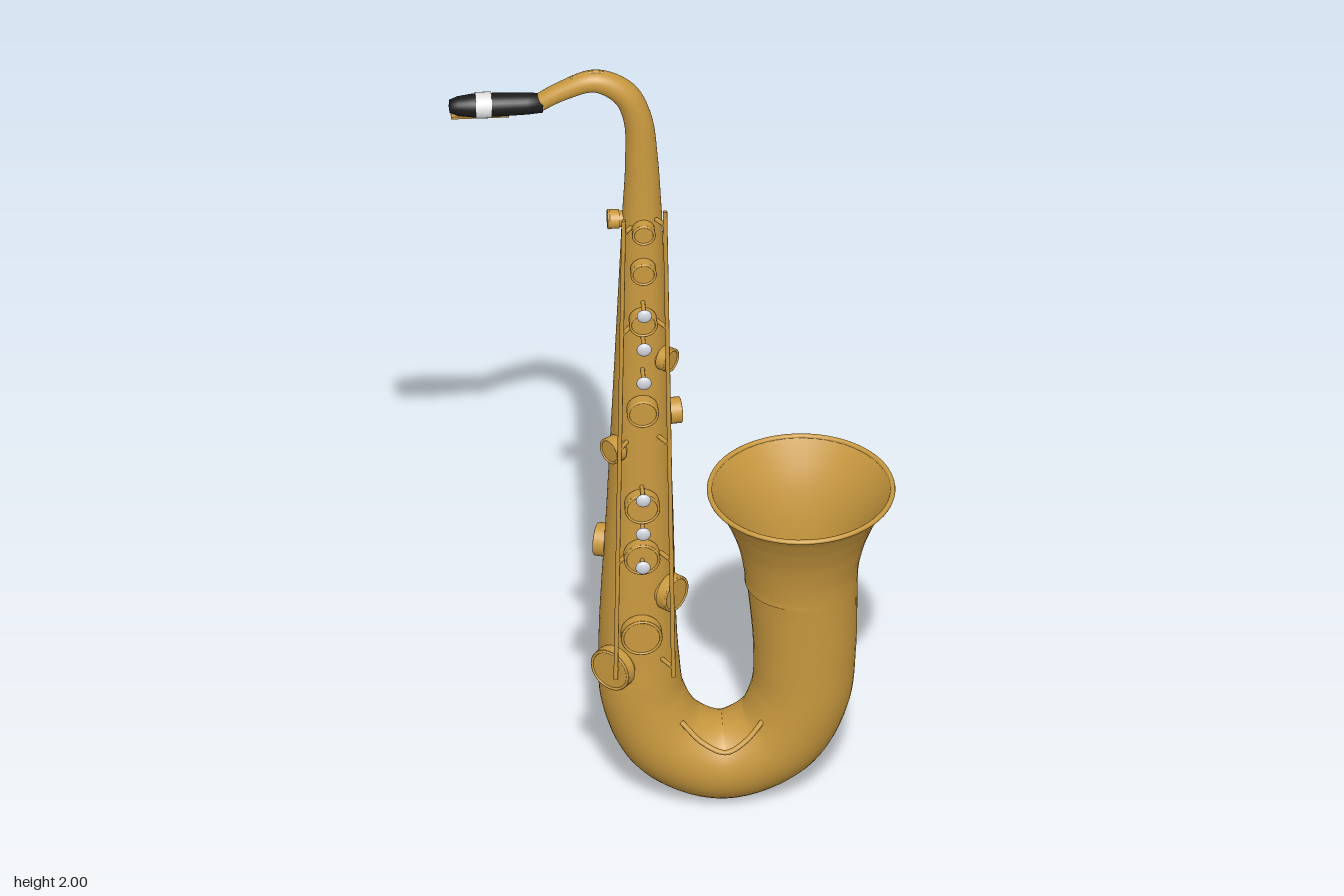
import * as THREE from 'three';

const mat = (name, color, side = THREE.FrontSide) => {
  const m = new THREE.MeshStandardMaterial({ color, side });
  m.name = name;
  return m;
};

export function createModel() {
  const gold = mat('gold lacquer', 0xc9993f, THREE.DoubleSide);
  const black = mat('black ebonite', 0x1c1c1c);
  const silver = mat('silver', 0xe2e2e2);
  const pearl = mat('pearl', 0xd0d4dc);

  const model = new THREE.Group();
  const add = (name, geo, material, parent = model, x = 0, y = 0, z = 0) => {
    const m = new THREE.Mesh(geo, material);
    m.name = name;
    m.position.set(x, y, z);
    parent.add(m);
    return m;
  };
  const V = (x, y, z = 0) => new THREE.Vector3(x, y, z);
  const wire = (name, pts, r) =>
    add(name, new THREE.TubeGeometry(new THREE.CatmullRomCurve3(pts), pts.length * 8, r, 8), gold);

  // Tapered tube in the xy plane; stations are [x, y, radius]
  function taperedTube(stations, steps, sides) {
    const path = new THREE.CatmullRomCurve3(stations.map(s => V(s[0], s[1])));
    const radii = new THREE.CatmullRomCurve3(stations.map(s => V(s[2], 0)), false, 'catmullrom');
    const pos = [], idx = [];
    for (let i = 0; i <= steps; i++) {
      const t = i / steps, p = path.getPoint(t), d = path.getTangent(t), r = radii.getPoint(t).x;
      for (let j = 0; j < sides; j++) {
        const a = j / sides * Math.PI * 2, c = r * Math.cos(a);
        pos.push(p.x - d.y * c, p.y + d.x * c, r * Math.sin(a));
        if (i === steps) continue;
        const k = i * sides + j, l = i * sides + (j + 1) % sides;
        idx.push(k, l, k + sides, l, l + sides, k + sides);
      }
    }
    const g = new THREE.BufferGeometry();
    g.setAttribute('position', new THREE.Float32BufferAttribute(pos, 3));
    g.setIndex(idx);
    g.computeVertexNormals();
    return g;
  }

  // Neck, body, bow and bell in one sweep
  add('body', taperedTube([
    [-0.31, 1.913, 0.02], [-0.25, 1.948, 0.022], [-0.175, 1.972, 0.026], [-0.11, 1.935, 0.03],
    [-0.08, 1.865, 0.032], [-0.071, 1.75, 0.037], [-0.07, 1.6, 0.045], [-0.072, 1.2, 0.06],
    [-0.075, 0.8, 0.075], [-0.078, 0.4, 0.09], [-0.065, 0.27, 0.095], [-0.008, 0.16, 0.1],
    [0.11, 0.105, 0.101], [0.23, 0.16, 0.107], [0.285, 0.27, 0.112], [0.296, 0.4, 0.116],
    [0.292, 0.55, 0.123], [0.288, 0.63, 0.131], [0.288, 0.7, 0.147], [0.288, 0.76, 0.17],
    [0.288, 0.8, 0.19], [0.288, 0.828, 0.208],
  ], 168, 40), gold);

  // Bell rim and inside
  add('bellRim', new THREE.TorusGeometry(0.206, 0.006, 10, 56).rotateX(Math.PI / 2), gold, model, 0.288, 0.826);
  const bore = [[0, 0.58], [0.127, 0.58], [0.127, 0.6], [0.134, 0.66], [0.147, 0.715], [0.17, 0.772], [0.203, 0.828]];
  add('bellInside', new THREE.LatheGeometry(bore.slice(1).map(p => new THREE.Vector2(...p)), 48), gold, model, 0.288);
  add('bellFloor', new THREE.CircleGeometry(0.127, 48).rotateX(-Math.PI / 2), gold, model, 0.288, 0.58);

  // Mouthpiece, lying along x
  const mouth = new THREE.Group();
  mouth.name = 'mouthpiece';
  mouth.position.y = 1.917;
  mouth.rotation.z = Math.PI / 2;
  model.add(mouth);
  add('mouthpieceBody', new THREE.LatheGeometry([
    [0, 0.293], [0.022, 0.294], [0.025, 0.33], [0.027, 0.4], [0.027, 0.45], [0.022, 0.485], [0.015, 0.503], [0, 0.505],
  ].map(p => new THREE.Vector2(...p)), 28), black, mouth);
  add('ligature', new THREE.CylinderGeometry(0.03, 0.03, 0.036, 28), silver, mouth, 0, 0.427);
  add('reed', new THREE.BoxGeometry(0.006, 0.13, 0.024), gold, mouth, -0.025, 0.435);

  // Body axis and radius at a height
  const axisX = y => -0.07 - (1.6 - y) * 0.0067;
  const radius = y => 0.045 + (1.6 - y) * 0.0375;

  // A cup on the body wall, facing angle a (degrees from front toward +x)
  function keyCup(y, a, r, rise = 0.024) {
    const g = new THREE.Group();
    g.name = 'keyCup';
    g.position.set(axisX(y), y, 0);
    g.rotation.y = a * Math.PI / 180;
    model.add(g);
    const top = radius(y) + rise, base = radius(y) * 0.72;
    const disc = (rad, z0, z1) => new THREE.CylinderGeometry(rad, rad, z1 - z0, 28).rotateX(Math.PI / 2).translate(0, 0, (z0 + z1) / 2);
    add('toneHole', disc(r * 0.85, base, top - 0.01), gold, g);
    add('cup', disc(r, top - 0.024, top), gold, g);
    add('cupRim', new THREE.TorusGeometry(r * 0.92, 0.003, 8, 28), gold, g, 0, 0, top);
  }
  [
    [1.59, 0, 0.026], [1.485, 0, 0.029], [1.35, 0, 0.032], [1.11, 0, 0.036], [0.855, 0, 0.04],
    [0.72, 0, 0.041], [0.51, 0, 0.047], [1.23, 52, 0.028], [0.6, 48, 0.043], [1.05, 97, 0.03],
    [0.99, -52, 0.031], [0.41, -38, 0.052], [1.59, -90, 0.022, 0.03], [0.69, -107, 0.038, 0.018],
    [0.9, 180, 0.022, 0.018],
  ].forEach(k => keyCup(...k));

  // Finger touches on stems
  for (const y of [1.395, 1.305, 1.215, 0.9, 0.81, 0.72]) {
    const z = radius(y) + 0.055, x = axisX(y);
    wire('touchStem', [V(x, y, radius(y) - 0.005), V(x, y, z)], 0.005);
    add('fingerPearl', new THREE.SphereGeometry(0.017, 20, 12).scale(1, 1, 0.5), pearl, model, x, y, z);
  }

  // Long key rods with posts
  for (const [top, bottom] of [[V(-0.115, 1.63, 0.064), V(-0.136, 0.4, 0.11)], [V(-0.022, 1.65, 0.063), V(-0.006, 0.4, 0.11)]]) {
    wire('keyRod', [top, bottom], 0.005);
    for (const t of [0.03, 0.25, 0.5, 0.75, 0.98]) {
      const p = top.clone().lerp(bottom, t);
      wire('rodPost', [V(axisX(p.y), p.y, 0).lerp(p, 0.6), p], 0.005);
    }
  }

  // Bell key cups on the back
  for (const y of [0.5, 0.397])
    add('bellKeyCup', new THREE.CylinderGeometry(0.056, 0.056, 0.055, 32).rotateX(Math.PI / 2), gold, model, 0.292, y, -0.128);

  // Bow guard wire and octave lever
  wire('bowGuard', [V(0.015, 0.245, 0.07), V(0.06, 0.218, 0.115), V(0.11, 0.203, 0.134), V(0.155, 0.218, 0.115), V(0.2, 0.245, 0.07)], 0.006);
  wire('octaveLever', [V(-0.23, 1.98), V(-0.175, 1.995), V(-0.125, 1.979)], 0.005);

  return model;
}
